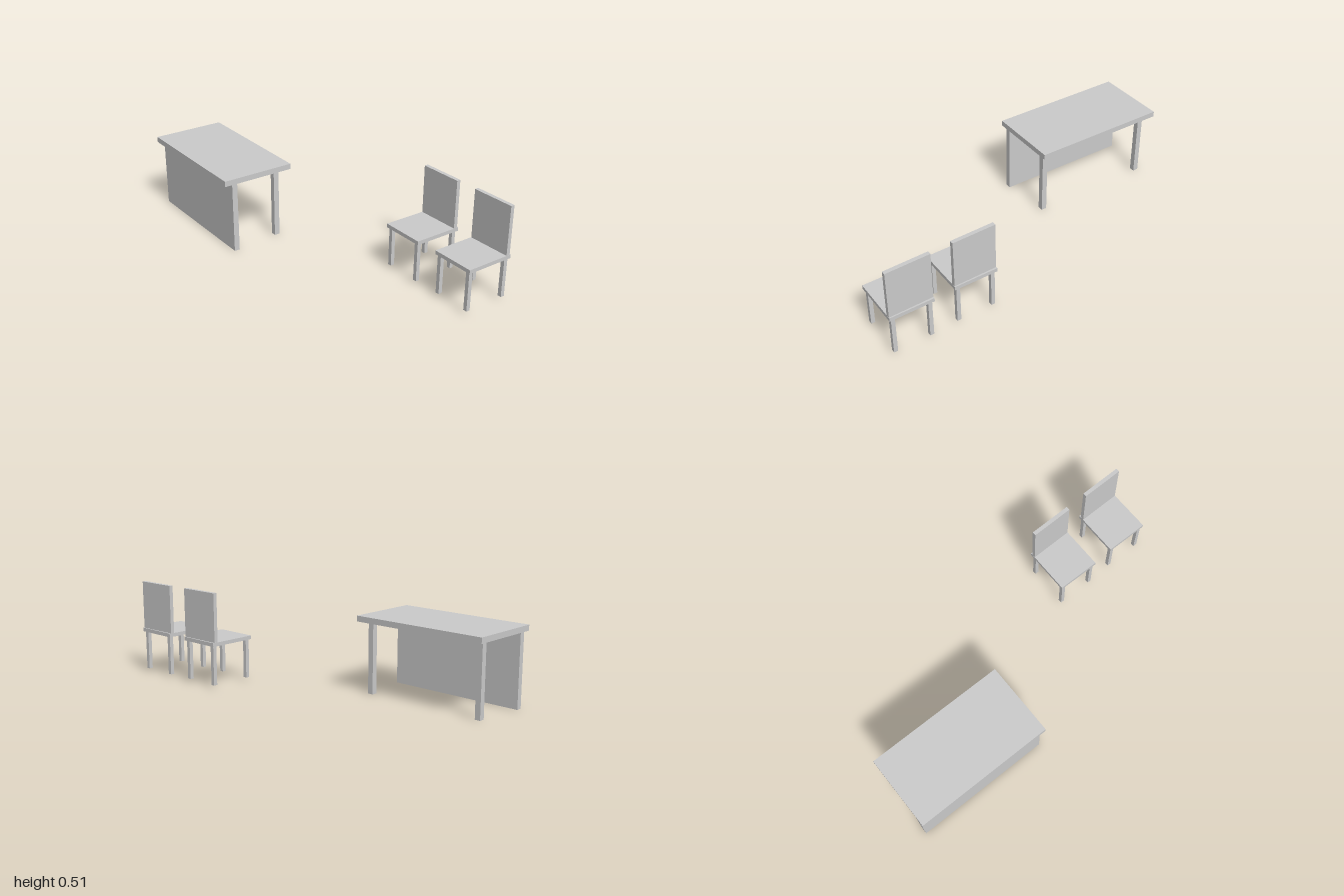
import * as THREE from 'three';

const material = new THREE.MeshStandardMaterial({ color: 0xcccccc });
const TURN = -THREE.MathUtils.degToRad(5);

// Box centred on x, z and spanning y0 to y1
function addBox(parent, name, width, depth, y0, y1, x = 0, z = 0) {
  const mesh = new THREE.Mesh(new THREE.BoxGeometry(width, y1 - y0, depth), material);
  mesh.name = name;
  mesh.position.set(x, (y0 + y1) / 2, z);
  parent.add(mesh);
  return mesh;
}

// Desk: top, full-width front panel and two rear legs
function createDesk() {
  const desk = new THREE.Group();
  desk.name = 'desk';
  addBox(desk, 'deskTop', 0.752, 0.401, 0.383, 0.413);
  addBox(desk, 'frontPanel', 0.75, 0.03, 0, 0.383, 0, 0.144);
  for (const side of [-1, 1]) {
    addBox(desk, 'deskLeg', 0.03, 0.03, 0, 0.383, side * 0.33, -0.129);
  }
  return desk;
}

// Chair: seat, upright backrest and four legs
function createChair() {
  const chair = new THREE.Group();
  chair.name = 'chair';
  addBox(chair, 'seat', 0.235, 0.263, 0.23, 0.25);
  const backrest = addBox(chair, 'backrest', 0.233, 0.021, 0.25, 0.51, 0, -0.113);
  backrest.rotation.y = THREE.MathUtils.degToRad(1);
  for (const sx of [-1, 1]) {
    for (const sz of [-1, 1]) {
      addBox(chair, 'chairLeg', 0.021, 0.021, 0.02, 0.23, sx * 0.097, sz * 0.113);
    }
  }
  return chair;
}

export function createModel() {
  const model = new THREE.Group();
  model.name = 'deskAndChairs';

  // All furniture shares the same slight turn
  const place = (item, x, z) => {
    item.position.set(x, 0, z);
    item.rotation.y = TURN;
    model.add(item);
  };
  place(createDesk(), -0.6085, 0.164);
  place(createChair(), 0.5215, -0.253);
  place(createChair(), 0.8715, -0.232);
  return model;
}
